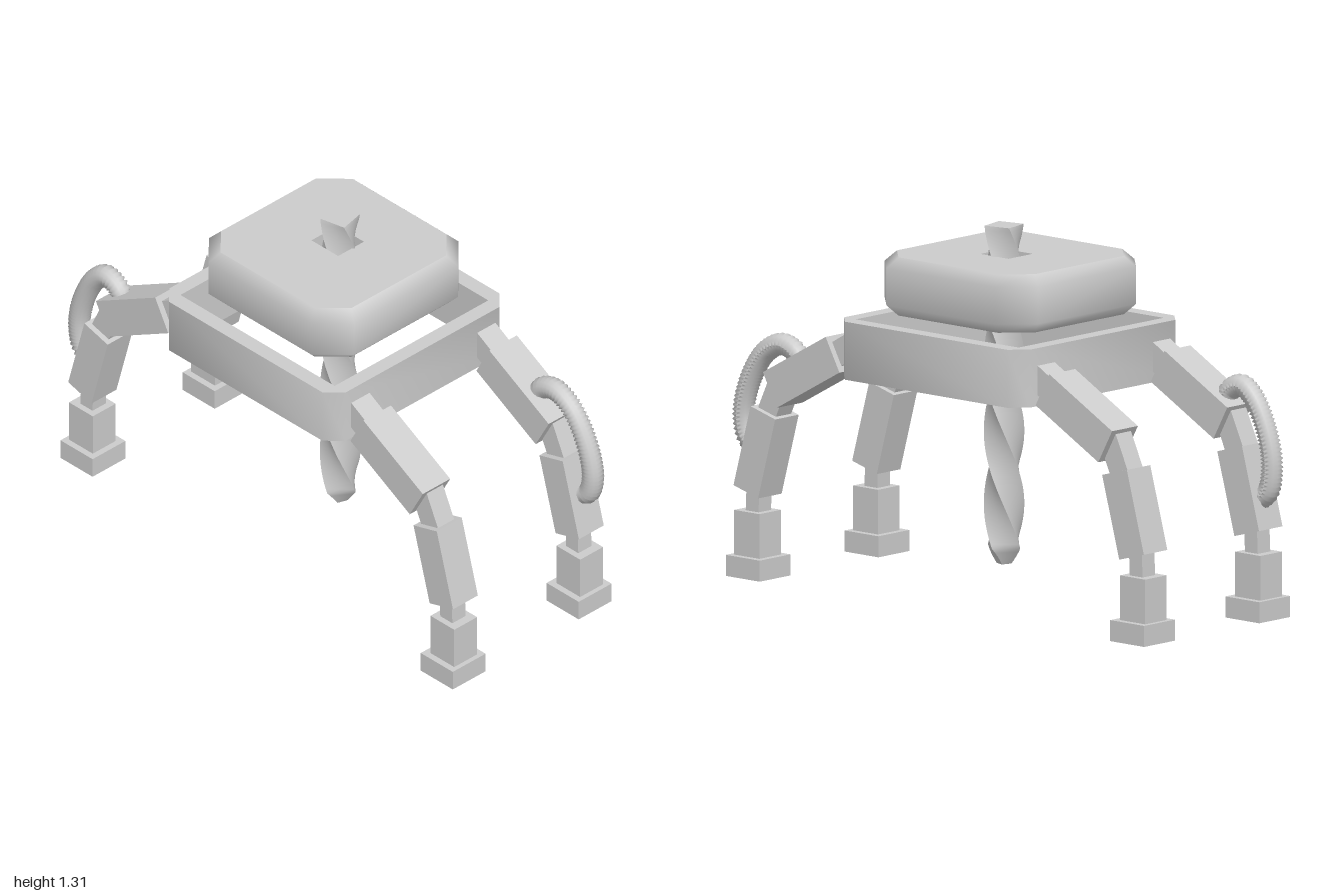
import * as THREE from 'three';
import { toCreasedNormals } from 'three/addons/utils/BufferGeometryUtils.js';

const grey = new THREE.MeshStandardMaterial({ color: 0xcccccc });
const greyDouble = new THREE.MeshStandardMaterial({ color: 0xcccccc, side: THREE.DoubleSide });

function add(parent, name, geometry, material = grey) {
  const mesh = new THREE.Mesh(geometry, material);
  mesh.name = name;
  parent.add(mesh);
  return mesh;
}

// Square outline with cut corners, half sizes a and b, corner cut c
function cutSquare(a, b, c) {
  return [[a, c - b], [a, b - c], [a - c, b], [c - a, b], [-a, b - c], [-a, c - b], [c - a, -b], [a - c, -b]]
    .map(([x, y]) => new THREE.Vector2(x, y));
}

function rectanglePath(cx, cy, a, b) {
  return new THREE.Path([[-a, -b], [-a, b], [a, b], [a, -b]].map(([x, y]) => new THREE.Vector2(cx + x, cy + y)));
}

// Square ring with softened outer corners
function frame() {
  const shape = new THREE.Shape(cutSquare(0.427, 0.437, 0.057));
  shape.holes.push(rectanglePath(0, 0, 0.37, 0.382));
  const g = new THREE.ExtrudeGeometry(shape, { depth: 0.204, bevelEnabled: false });
  g.rotateX(-Math.PI / 2).translate(-0.003, 0.773, -0.004);
  return toCreasedNormals(g, 0.9);
}

// Bevelled block: smooth lofted side, flat caps and a square shaft through it
function motorBlock() {
  const group = new THREE.Group();
  group.name = 'motorBlock';
  const outline = inset => cutSquare(0.355 - inset, 0.36 - inset, 0.105 - inset * 0.4);
  const positions = [], index = [];
  [[0.037, 1.002], [0, 1.04], [0, 1.17], [0.037, 1.207]].forEach(([inset, y], r) => {
    outline(inset).forEach((p, i) => {
      positions.push(p.x, y, -p.y);
      if (r === 0) return;
      const a = (r - 1) * 8 + i, b = (r - 1) * 8 + (i + 1) % 8;
      index.push(a, b, b + 8, a, b + 8, a + 8);
    });
  });
  const side = new THREE.BufferGeometry();
  side.setAttribute('position', new THREE.Float32BufferAttribute(positions, 3));
  side.setIndex(index);
  side.computeVertexNormals();
  add(group, 'blockSide', side);

  for (const [name, y, s] of [['blockTop', 1.207, -1], ['blockBottom', 1.002, 1]]) {
    const cap = new THREE.Shape(outline(0.037));
    cap.holes.push(rectanglePath(0.02, 0, 0.062, 0.066));
    add(group, name, new THREE.ShapeGeometry(cap).rotateX(s * Math.PI / 2).translate(0, y, 0));
  }
  const shaft = new THREE.CylinderGeometry(Math.SQRT1_2, Math.SQRT1_2, 0.205, 4, 1, true)
    .rotateY(Math.PI / 4).scale(0.124, 1, 0.132).translate(0.02, 1.1045, 0).toNonIndexed();
  shaft.computeVertexNormals();
  add(group, 'blockShaft', shaft, greyDouble);
  group.position.set(-0.006, 0, -0.005);
  return group;
}

// Square bar twisted about its axis with a tapered tip
function drill() {
  const g = new THREE.BoxGeometry(0.099, 1.19, 0.099, 2, 80, 2);
  const p = g.attributes.position;
  for (let i = 0; i < p.count; i++) {
    const x = p.getX(i), z = p.getZ(i), y = p.getY(i) + 0.715;
    const scale = Math.min(1, 0.38 + 0.62 * (y - 0.12) / 0.06);
    const turn = -0.21 - (1.31 - y) / 0.255 * Math.PI / 2;
    const c = Math.cos(turn) * scale, s = Math.sin(turn) * scale;
    p.setXYZ(i, x * c - z * s + 0.021, y, x * s + z * c);
  }
  g.computeVertexNormals();
  return g;
}

// Box running between two [z, y] points
function limb(parent, name, x, side, from, to, width, thickness) {
  const dz = (to[0] - from[0]) * side, dy = to[1] - from[1];
  const mesh = add(parent, name, new THREE.BoxGeometry(width, Math.hypot(dz, dy), thickness));
  mesh.position.set(x, (from[1] + to[1]) / 2, side * (from[0] + to[0]) / 2);
  mesh.rotation.x = Math.atan2(dz, dy);
}

function leg(name, x, side) {
  const group = new THREE.Group();
  group.name = name;
  limb(group, 'hipJoint', x, side, [0.41, 0.881], [0.52, 0.818], 0.088, 0.09);
  limb(group, 'upperLeg', x, side, [0.484, 0.839], [0.778, 0.677], 0.132, 0.134);
  limb(group, 'kneeJoint', x, side, [0.757, 0.717], [0.835, 0.55], 0.078, 0.085);
  limb(group, 'lowerLeg', x, side, [0.816, 0.591], [0.896, 0.303], 0.12, 0.12);
  limb(group, 'ankleJoint', x, side, [0.887, 0.35], [0.893, 0.21], 0.064, 0.06);
  limb(group, 'shin', x, side, [0.896, 0.07], [0.896, 0.231], 0.11, 0.118);
  limb(group, 'foot', x, side, [0.893, 0], [0.893, 0.074], 0.158, 0.159);
  return group;
}

// Ribbed hose along [z, y] points
function hose(x, side, points) {
  const curve = new THREE.CatmullRomCurve3(points.map(([z, y]) => new THREE.Vector3(x, y, side * z)));
  const rings = 80, around = 14;
  const g = new THREE.TubeGeometry(curve, rings, 0.036, around);
  const p = g.attributes.position, v = new THREE.Vector3();
  for (let i = 0; i < p.count; i++) {
    const ring = Math.floor(i / (around + 1));
    const centre = curve.getPointAt(ring / rings);
    v.fromBufferAttribute(p, i).sub(centre).multiplyScalar(ring % 2 ? 1.1 : 0.86).add(centre);
    p.setXYZ(i, v.x, v.y, v.z);
  }
  g.computeVertexNormals();
  return g;
}

export function createModel() {
  const model = new THREE.Group();
  model.name = 'drillRig';
  add(model, 'frame', frame());
  model.add(motorBlock());
  add(model, 'drill', drill());

  model.add(leg('frontRightLeg', -0.302, 1), leg('frontLeftLeg', 0.304, 1));
  model.add(leg('backRightLeg', -0.302, -1), leg('backLeftLeg', 0.286, -1));

  add(model, 'frontHose', hose(0.306, 1,
    [[0.69, 0.775], [0.715, 0.81], [0.778, 0.83], [0.858, 0.79], [0.933, 0.674], [0.96, 0.556], [0.938, 0.48], [0.885, 0.46]]), greyDouble);
  add(model, 'backHose', hose(-0.304, -1,
    [[0.74, 0.745], [0.765, 0.785], [0.82, 0.806], [0.878, 0.762], [0.938, 0.645], [0.958, 0.54], [0.942, 0.45], [0.895, 0.41]]), greyDouble);
  return model;
}
